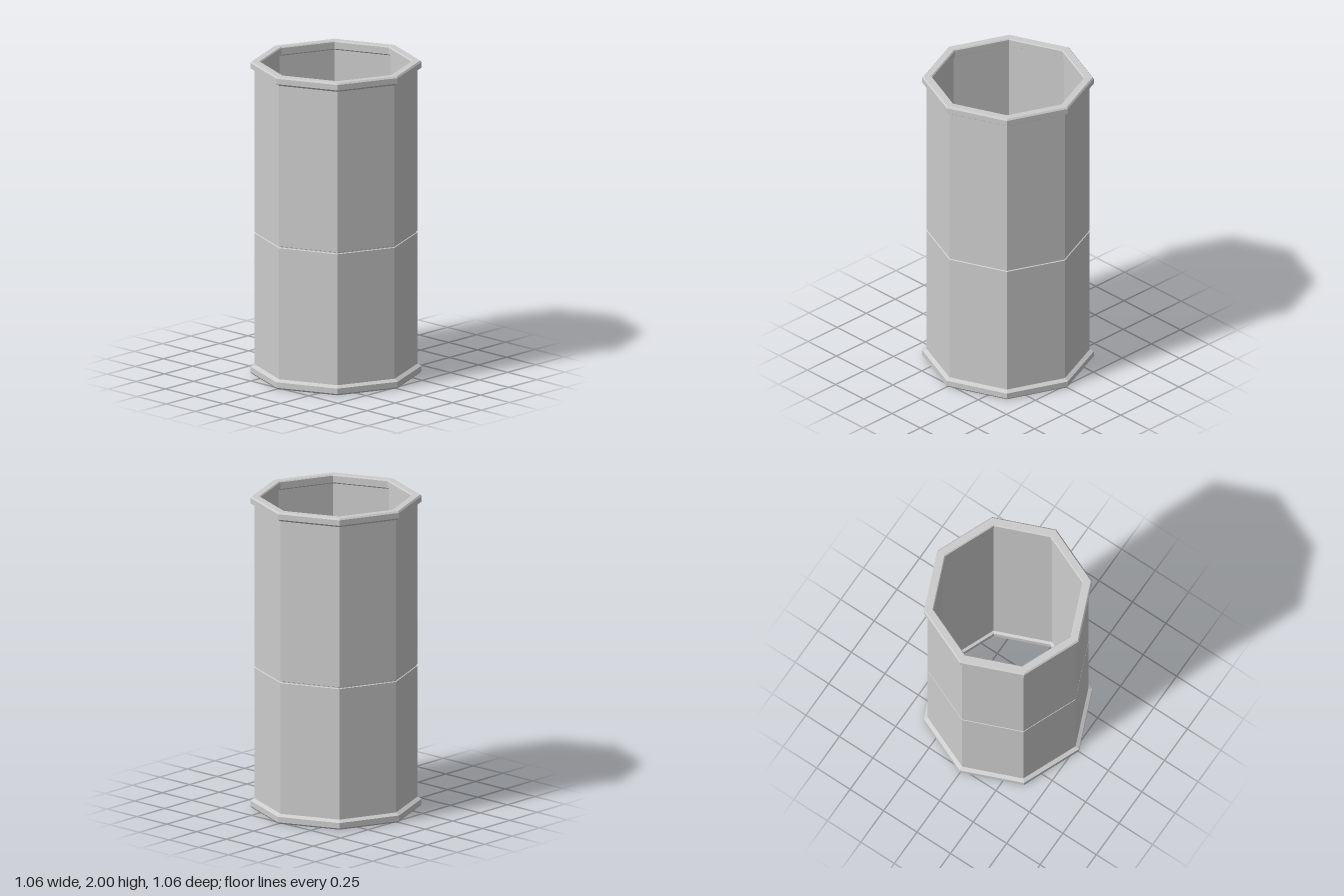
import * as THREE from 'three';

const SIDES = 8;

// Faceted ring turned from a closed [radius, height] profile: outside upward, inside downward
function facetedRing(name, profile, material) {
  const points = [...profile, profile[0]].map(([r, y]) => new THREE.Vector2(r, y));
  const geometry = new THREE.LatheGeometry(points, SIDES).toNonIndexed();
  geometry.computeVertexNormals();
  const mesh = new THREE.Mesh(geometry, material);
  mesh.name = name;
  return mesh;
}

export function createModel() {
  const grey = new THREE.MeshStandardMaterial({ color: 0xcccccc });
  grey.name = 'light grey';
  const model = new THREE.Group();
  model.name = 'octagonalPipe';

  const outer = 0.505, inner = 0.485, seam = 0.905;

  // Wall with a narrow groove at the joint
  model.add(facetedRing('pipeWall', [
    [outer, 0.03], [outer, seam - 0.006], [outer - 0.007, seam - 0.003],
    [outer - 0.007, seam + 0.003], [outer, seam + 0.006], [outer, 1.97],
    [inner, 1.97], [inner, 0.03],
  ], grey));

  // Bevelled collars at both ends; the lower one mirrors the upper
  const collar = [
    [outer, 1.94], [0.53, 1.955], [0.53, 1.99], [0.521, 2],
    [0.475, 2], [0.468, 1.993], [0.468, 1.95], [inner, 1.94],
  ];
  model.add(facetedRing('topCollar', collar, grey));
  const mirrored = collar.map(([r, y]) => [r, 2 - y]).reverse();
  model.add(facetedRing('bottomCollar', mirrored, grey));
  return model;
}
